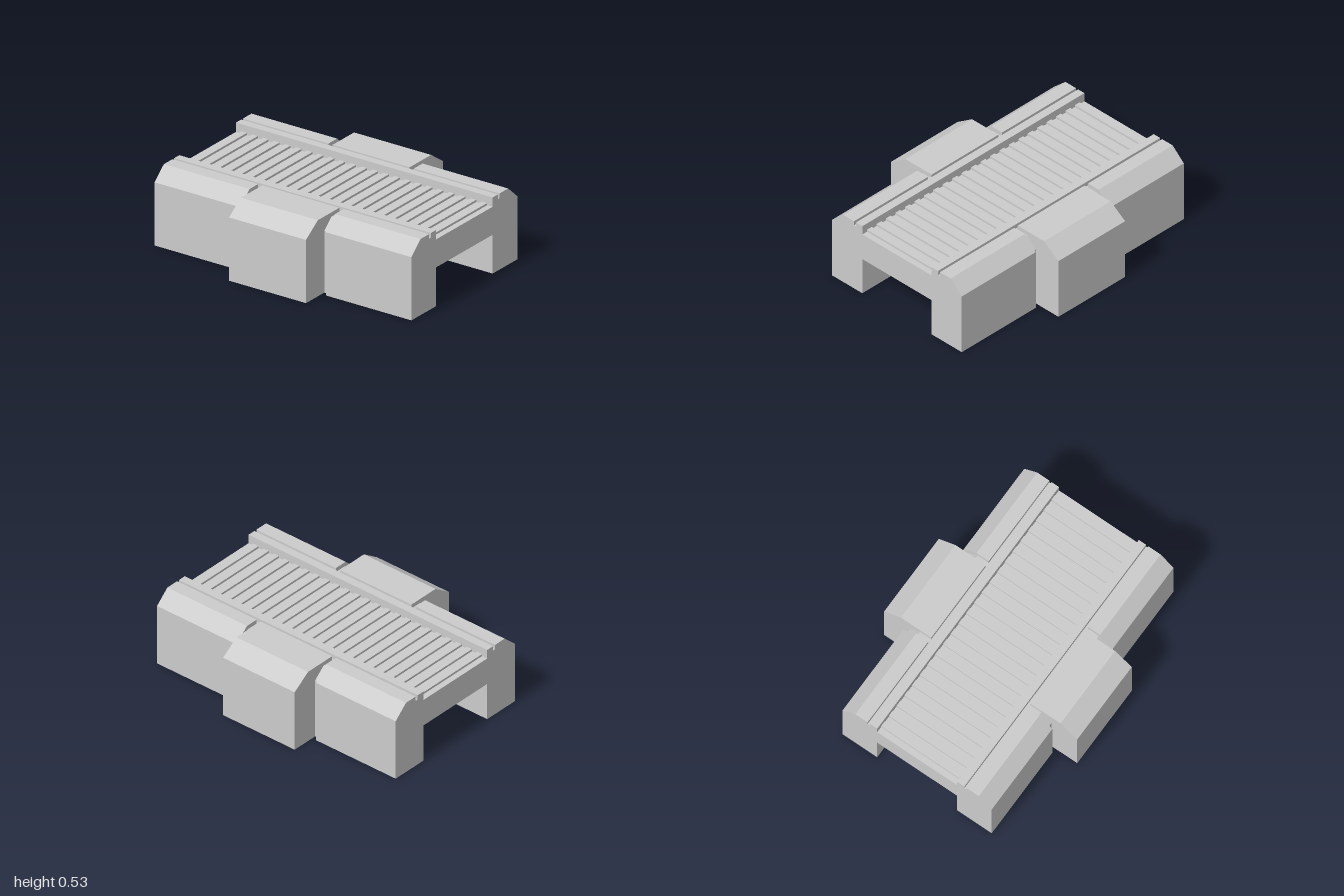
import * as THREE from 'three';

const material = new THREE.MeshStandardMaterial({ color: 0xcccccc, flatShading: true });

// Bridge-shaped cross-section: outer half width, chamfer start and height, shoulder and top
function crossSection(outer, chamferY, shoulder, topY) {
  const half = [
    [0.31, 0.27], [0.31, 0], [outer, 0], [outer, chamferY], [shoulder, topY],
    [0.385, topY], [0.385, 0.498], [0.367, 0.498], // cable groove
    [0.367, 0.53], [0.31, 0.53], [0.31, 0.465],    // inner rail down to the deck
  ];
  const mirrored = half.map(([z, y]) => [-z, y]).reverse();
  return new THREE.Shape([...half, ...mirrored].map(([z, y]) => new THREE.Vector2(z, y)));
}

// Runs a cross-section along x from x0 to x1
function segment(name, shape, x0, x1) {
  const geometry = new THREE.ExtrudeGeometry(shape, { depth: x1 - x0, bevelEnabled: false });
  geometry.rotateY(Math.PI / 2);
  geometry.translate(x0, 0, 0);
  const mesh = new THREE.Mesh(geometry, material);
  mesh.name = name;
  return mesh;
}

export function createModel() {
  const model = new THREE.Group();
  model.name = 'tracklikeBase';

  const endShape = crossSection(0.58, 0.44, 0.48, 0.53);
  const seamShape = crossSection(0.55, 0.43, 0.47, 0.5);
  const middleShape = crossSection(0.75, 0.44, 0.62, 0.53);

  // Body: two end sections, two recessed seams, one wide middle section
  model.add(
    segment('rightEndSection', endShape, -1, -0.333),
    segment('rightSeam', seamShape, -0.333, -0.3),
    segment('middleSection', middleShape, -0.3, 0.3),
    segment('leftSeam', seamShape, 0.3, 0.333),
    segment('leftEndSection', endShape, 0.333, 1),
  );

  // Raised ribs across the deck, with gaps as wide as the ribs
  const ribs = new THREE.Group();
  ribs.name = 'deckRibs';
  const ribCount = 23;
  const cell = 2 / (ribCount * 2 + 1);
  const ribGeometry = new THREE.BoxGeometry(cell, 0.025, 0.62);
  for (let i = 0; i < ribCount; i++) {
    const rib = new THREE.Mesh(ribGeometry, material);
    rib.name = 'deckRib';
    rib.position.set(-1 + cell * (2 * i + 1.5), 0.4675, 0);
    ribs.add(rib);
  }
  model.add(ribs);

  return model;
}
